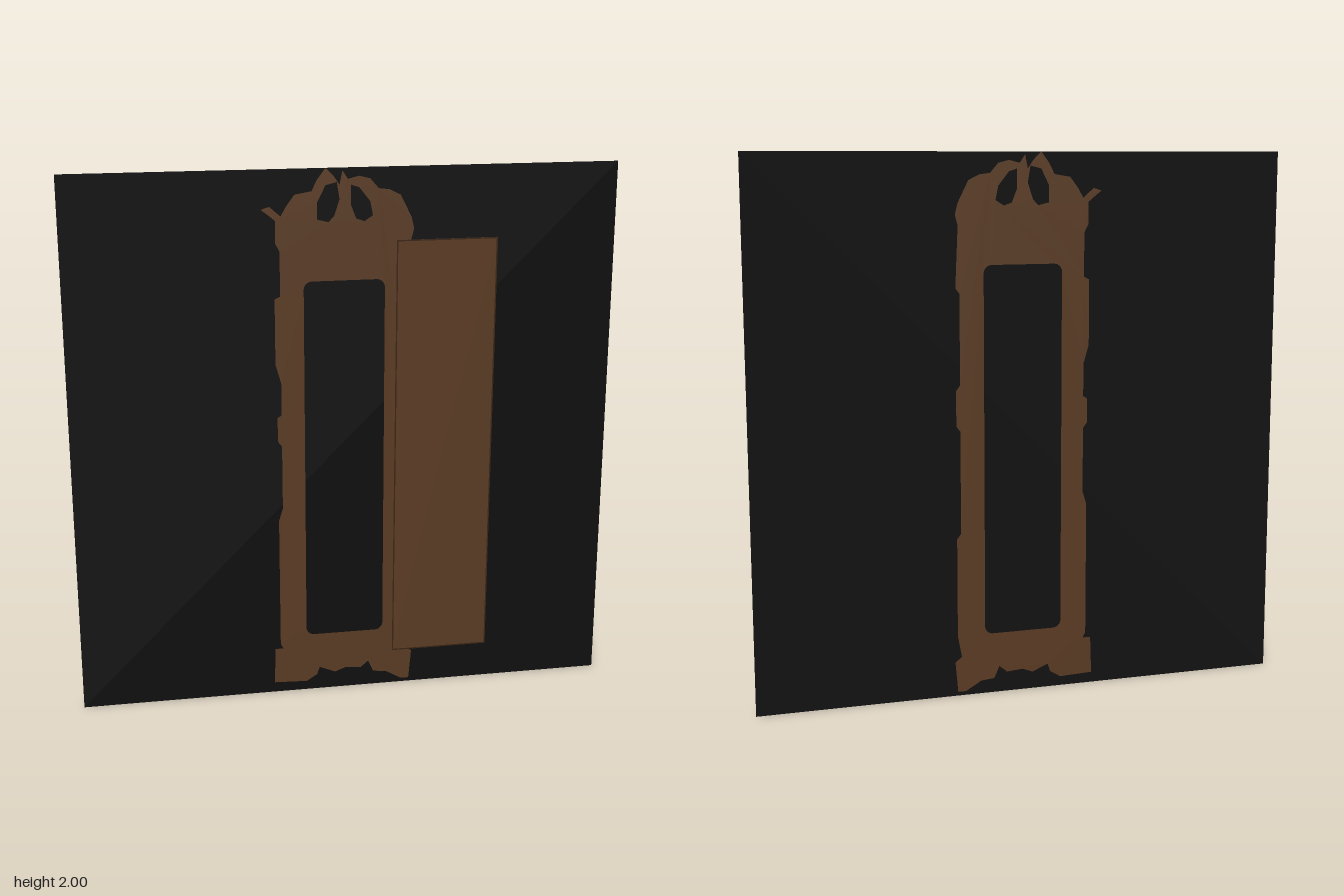
import * as THREE from 'three';

const backing = new THREE.MeshStandardMaterial({ color: 0x0d0d0d, side: THREE.DoubleSide });
backing.name = 'black backing';
const wood = new THREE.MeshStandardMaterial({ color: 0x5a3b23, side: THREE.DoubleSide });
wood.name = 'brown wood';
const edge = new THREE.MeshStandardMaterial({ color: 0x3a2413, side: THREE.DoubleSide });
edge.name = 'dark wood edge';

const BACK_Z = -0.018;

// Points in hundredths of a unit
const points = (list) => list.map(([x, y]) => new THREE.Vector2(x / 100, y / 100));

function roundedHole(x0, y0, x1, y1, r) {
  const p = new THREE.Path();
  p.absarc(x1 - r, y1 - r, r, 0, Math.PI / 2);
  p.absarc(x0 + r, y1 - r, r, Math.PI / 2, Math.PI);
  p.absarc(x0 + r, y0 + r, r, Math.PI, Math.PI * 1.5);
  p.absarc(x1 - r, y0 + r, r, Math.PI * 1.5, Math.PI * 2);
  p.closePath();
  return p;
}

// Carved frame silhouette: crest, worn sides, scrolled apron
function frameShape() {
  const left = [
    [-2, 194], [-4, 197], [-7, 200], [-10, 196], [-12, 192], [-18, 191], [-21, 187], [-23, 183.5],
    [-27, 187], [-30, 186], [-28, 184.5], [-25, 182], [-25, 174], [-23.5, 171], [-23.5, 155],
    [-25.5, 154], [-25.5, 130], [-23.5, 123], [-23.5, 111], [-25, 110], [-25, 101], [-23.5, 99],
    [-23.5, 75], [-25, 70], [-25, 20], [-24, 18], [-27, 18], [-27.5, 4],
  ];
  const apron = [
    [-15, 3.5], [-11, 6], [-10, 9], [-4, 6.5], [0, 8], [6, 7.5], [9, 10], [11, 5.5], [16, 5], [22, 1.5],
  ];
  const right = [
    [25, 1.5], [26, 13], [23.5, 15], [25, 23], [25, 60], [23.5, 62], [23.5, 100], [25, 102],
    [25, 115], [23.5, 117], [23.5, 150], [25, 152], [24, 174], [25, 178], [24, 182], [22, 186],
    [20, 190], [16, 192], [12, 192.5], [9, 196], [5, 197], [1, 196], [-1, 199],
  ];
  const shape = new THREE.Shape(points([...left, ...apron, ...right]));
  shape.holes.push(
    roundedHole(-0.15, 0.23, 0.145, 1.6, 0.03),
    new THREE.Path(points([[-10, 182], [-10, 188], [-7, 194], [-3, 195], [-2, 189], [-4, 183], [-6, 181]])),
    new THREE.Path(points([[2, 194], [5, 193], [9, 188], [10, 183], [7, 181], [4, 182], [2, 187]])),
  );
  return shape;
}

export function createModel() {
  const model = new THREE.Group();
  model.name = 'mirrorFrameCard';
  const add = (name, geometry, material, x, y, z, parent = model) => {
    const mesh = new THREE.Mesh(geometry, material);
    mesh.name = name;
    mesh.position.set(x, y, z);
    parent.add(mesh);
    return mesh;
  };

  // Square card with the frame on both faces
  add('backingCard', new THREE.PlaneGeometry(2, 2), backing, 0, 1, BACK_Z);
  const frame = new THREE.ShapeGeometry(frameShape());
  add('frameFront', frame, wood, 0, 0, BACK_Z + 0.002);
  add('frameBack', frame, wood, 0, 0, BACK_Z - 0.002);

  // Loose panel, leaning slightly forward at the top
  const panel = new THREE.Group();
  panel.name = 'panel';
  panel.position.set(0.365, 0.945, 0.009);
  panel.rotation.x = 0.0112;
  model.add(panel);
  add('panelFace', new THREE.PlaneGeometry(0.37, 1.6), wood, 0, 0, 0, panel);

  // Thin dark border of the panel
  for (const s of [-1, 1]) {
    add('panelSideBorder', new THREE.PlaneGeometry(0.005, 1.6), edge, s * 0.1825, 0, 0.0015, panel);
    add('panelEndBorder', new THREE.PlaneGeometry(0.37, 0.005), edge, 0, s * 0.7975, 0.0015, panel);
  }
  return model;
}
